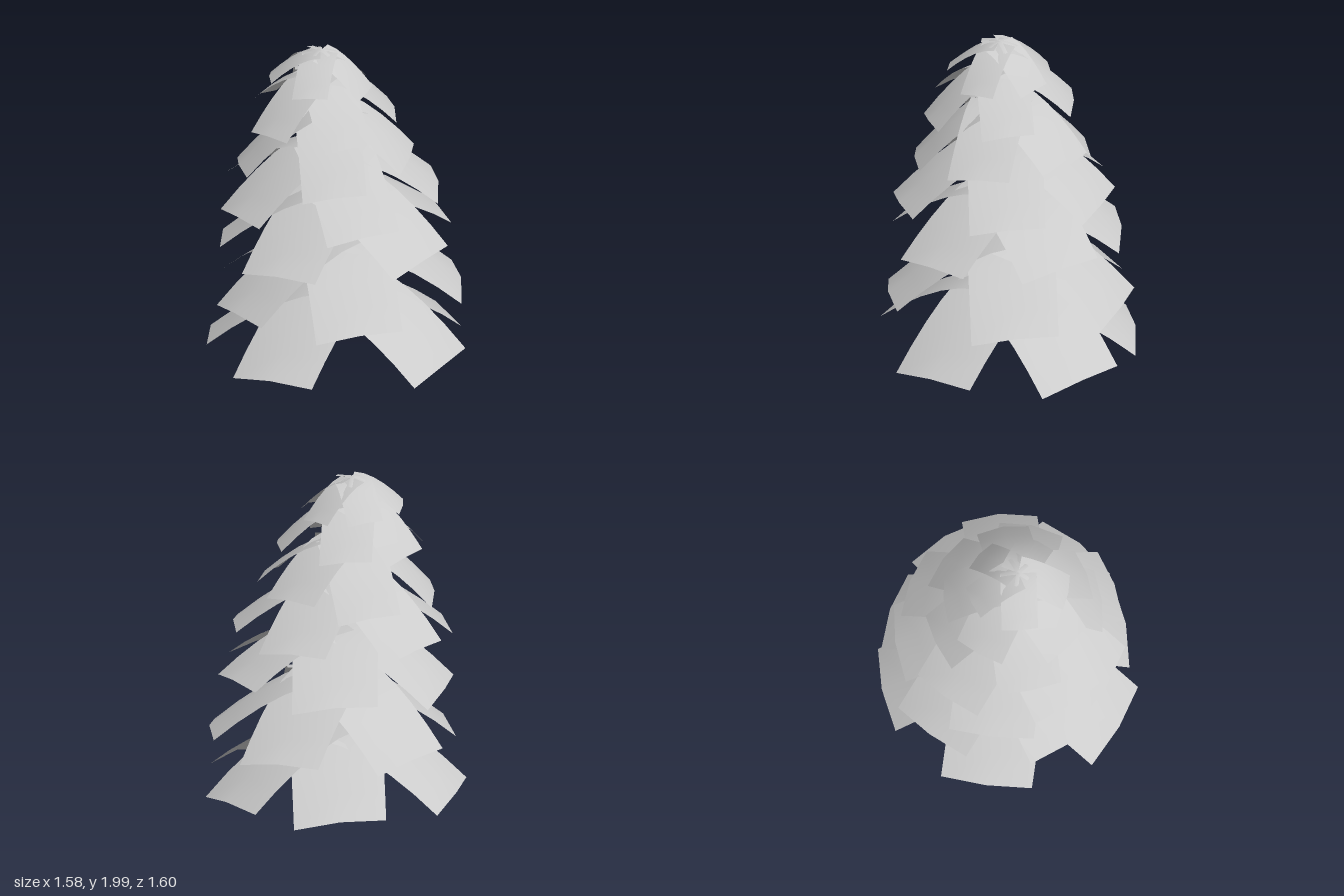
import * as THREE from 'three';

const mat = new THREE.MeshStandardMaterial({ color: 0xcccccc, side: THREE.DoubleSide });

// Tiers from bottom to top: height at trunk, droop, reach, width and branches.
// Each branch: [heading in degrees (0 = +x, 90 = +z), extra lift of its tip]
const tiers = [
  { y: 0.47, drop: 0.405, reach: 0.78, width: 0.56,
    branches: [[64, 0], [-9, 0], [-69, 0], [-138, 0], [152, 0]] },
  { y: 0.79, drop: 0.39, reach: 0.74, width: 0.53,
    branches: [[111, -0.01], [24, 0.01], [-40, 0], [-109, -0.01], [180, -0.02]] },
  { y: 1.11, drop: 0.33, reach: 0.695, width: 0.52,
    branches: [[70, -0.01], [-2, 0.03], [-66, -0.01], [-139, -0.06], [152, -0.05]] },
  { y: 1.41, drop: 0.35, reach: 0.66, width: 0.46,
    branches: [[102, -0.045], [25, 0.02], [-38, 0.01], [-110, 0], [180, -0.035]] },
  { y: 1.64, drop: 0.34, reach: 0.53, width: 0.39,
    branches: [[43, 0.03], [-24, 0.045], [-82, -0.03], [-158, -0.04], [114, -0.06]] },
  { y: 1.87, drop: 0.31, reach: 0.45, width: 0.32,
    branches: [[101, -0.035], [20, 0.02], [-62, 0.045], [-116, 0.03], [168, 0]] },
  { y: 1.99, drop: 0.2, reach: 0.31, width: 0.22,
    branches: [[54, -0.02], [-18, -0.01], [-82, 0.015], [-150, 0.035], [133, 0.02]] },
  { y: 2.0, drop: 0.03, reach: 0.11, width: 0.025,
    branches: [[75, 0], [5, 0], [-60, 0], [-140, 0], [152, 0]] },
];

// Sideways bend of the trunk as (x, y)
const bend = [[0.03, 0.11], [0.008, 0.47], [0.03, 0.79], [0, 1.11], [-0.04, 1.41],
  [-0.075, 1.64], [-0.1, 1.87], [-0.11, 2]];
function trunkX(y) {
  let i = 0;
  while (i < bend.length - 2 && y > bend[i + 1][1]) i++;
  const [x0, y0] = bend[i], [x1, y1] = bend[i + 1];
  return THREE.MathUtils.mapLinear(y, y0, y1, x0, x1);
}

// Drooping sheet with a soft ridge along its middle, rolled slightly to one side
function branchGeometry({ drop, reach, width }, lift) {
  const g = new THREE.PlaneGeometry(1, 1, 2, 5);
  const pos = g.attributes.position;
  const ridge = width * 0.055, roll = width * 0.05;
  for (let i = 0; i < pos.count; i++) {
    const u = pos.getX(i) * 2, t = pos.getY(i) + 0.5;
    pos.setXYZ(
      i,
      t * (reach - ridge * Math.abs(u)),
      lift * t - drop * Math.pow(t, 1.6) - ridge * Math.abs(u) - roll * u,
      u * width / 2
    );
  }
  g.computeVertexNormals();
  return g;
}

function createTrunk() {
  const g = new THREE.CylinderGeometry(0.014, 0.048, 1.87, 10, 14);
  g.translate(0, 1.045, 0);
  const pos = g.attributes.position;
  for (let i = 0; i < pos.count; i++) pos.setX(i, pos.getX(i) + trunkX(pos.getY(i)));
  g.computeVertexNormals();
  const trunk = new THREE.Mesh(g, mat);
  trunk.name = 'trunk';
  return trunk;
}

export function createModel() {
  const tree = new THREE.Group();
  tree.name = 'coniferTree';
  tree.add(createTrunk());

  // Rings of five branches
  tiers.forEach((tier, n) => {
    const ring = new THREE.Group();
    ring.name = `branchTier${n + 1}`;
    ring.position.set(trunkX(tier.y), tier.y, 0);
    for (const [deg, lift] of tier.branches) {
      const branch = new THREE.Mesh(branchGeometry(tier, lift), mat);
      branch.name = 'branch';
      branch.rotation.y = -THREE.MathUtils.degToRad(deg);
      ring.add(branch);
    }
    tree.add(ring);
  });
  return tree;
}
